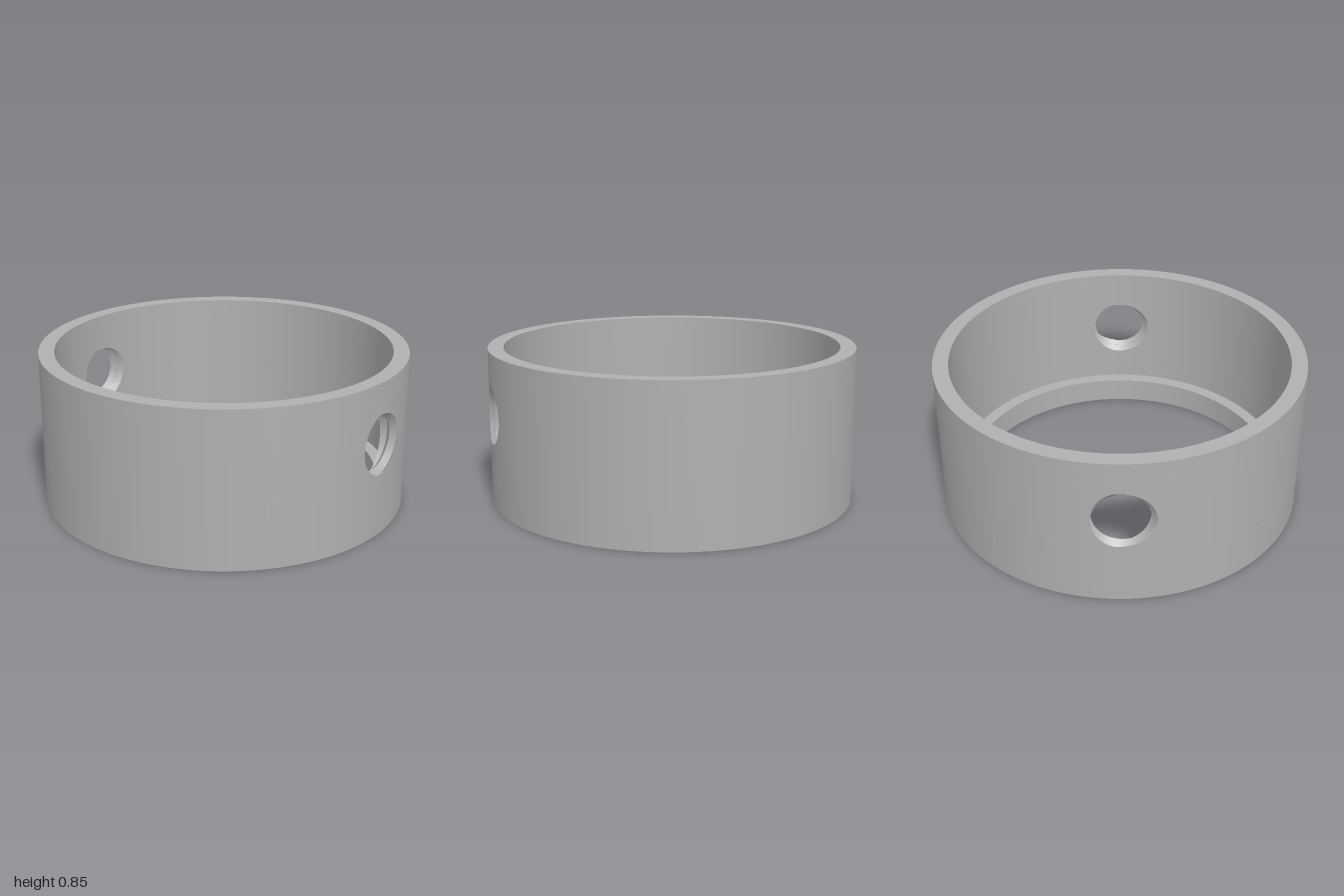
import * as THREE from 'three';
import { toCreasedNormals } from 'three/addons/utils/BufferGeometryUtils.js';

const OUTER = 1, INNER = 0.915, LIP = 0.845, HEIGHT = 0.845, LEDGE = 0.14;
const HOLE_Y = 0.495, MINOR = 0.148, DEPTH = 0.03, PITCH = 0.055;
const PATCH = 0.3; // half size of the wall panel around each hole
const SEGMENTS = 128, AROUND = 96;

// Surface from a rule f(u, v), both 0..1
function grid(cols, rows, f, flip) {
  const pos = [], index = [];
  for (let j = 0; j <= rows; j++) {
    for (let i = 0; i <= cols; i++) pos.push(...f((i % cols) / cols, j / rows));
  }
  for (let j = 0; j < rows; j++) {
    for (let i = 0; i < cols; i++) {
      const a = j * (cols + 1) + i, b = a + 1, d = a + cols + 1, c = d + 1;
      if (flip) index.push(a, d, b, b, d, c);
      else index.push(a, b, d, b, c, d);
    }
  }
  const g = new THREE.BufferGeometry();
  g.setAttribute('position', new THREE.Float32BufferAttribute(pos, 3));
  g.setIndex(index);
  return toCreasedNormals(g, 0.5);
}

// Radius of the V thread at an angle and depth
function threadRadius(angle, z) {
  const phase = (z - 0.99) / PITCH - (angle - Math.PI / 4) / (2 * Math.PI);
  return MINOR + DEPTH * Math.abs(2 * (phase - Math.floor(phase)) - 1);
}

// Where the thread meets a cylindrical wall of radius R
function rim(angle, R) {
  let r = MINOR, z = R;
  for (let k = 0; k < 12; k++) {
    z = Math.sqrt(R * R - (r * Math.cos(angle)) ** 2);
    r = threadRadius(angle, z);
  }
  return { r, z };
}

// Threaded bore through the wall
function boreGeometry() {
  return grid(AROUND, 40, (u, v) => {
    const a = u * Math.PI * 2;
    const z = THREE.MathUtils.lerp(rim(a, INNER).z, rim(a, OUTER).z, v);
    const r = threadRadius(a, z);
    return [r * Math.cos(a), HOLE_Y + r * Math.sin(a), z];
  }, true);
}

// Curved square wall panel with the hole in its middle
function panelGeometry(R, facesOut) {
  return grid(AROUND, 10, (u, v) => {
    const a = u * Math.PI * 2, c = Math.cos(a), s = Math.sin(a);
    const { r } = rim(a, R);
    const edge = PATCH / Math.max(Math.abs(c), Math.abs(s));
    const arc = THREE.MathUtils.lerp(R * Math.asin(r * c / R), edge * c, v);
    const y = THREE.MathUtils.lerp(r * s, edge * s, v);
    return [R * Math.sin(arc / R), HOLE_Y + y, R * Math.cos(arc / R)];
  }, facesOut);
}

export function createModel() {
  const model = new THREE.Group();
  const metal = new THREE.MeshStandardMaterial({ color: 0xb0b0b0 });
  metal.name = 'grey metal';

  const add = (parent, name, geometry) => {
    const mesh = new THREE.Mesh(geometry, metal);
    mesh.name = name;
    parent.add(mesh);
  };
  // One straight stretch of the ring's profile, turned about y
  const turn = (name, r0, y0, r1, y1, start = 0, length = Math.PI * 2, n = SEGMENTS) =>
    add(model, name, new THREE.LatheGeometry(
      [new THREE.Vector2(r0, y0), new THREE.Vector2(r1, y1)], n, start, length));

  const low = HOLE_Y - PATCH, high = HOLE_Y + PATCH;

  // Full bands and flat faces
  turn('outerWallBottom', OUTER, 0, OUTER, low);
  turn('outerWallTop', OUTER, high, OUTER, HEIGHT);
  turn('topRim', OUTER, HEIGHT, INNER, HEIGHT);
  turn('innerWallTop', INNER, HEIGHT, INNER, high);
  turn('innerWallBottom', INNER, low, INNER, LEDGE);
  turn('ledge', INNER, LEDGE, LIP, LEDGE);
  turn('lip', LIP, LEDGE, LIP, 0);
  turn('base', LIP, 0, OUTER, 0);

  // Wall sides between the two hole panels
  for (const side of [0, Math.PI]) {
    const o = PATCH / OUTER, i = PATCH / INNER;
    turn('outerWallSide', OUTER, low, OUTER, high, side + o, Math.PI - 2 * o, 56);
    turn('innerWallSide', INNER, high, INNER, low, side + i, Math.PI - 2 * i, 56);
  }

  // Threaded holes, front and back
  const bore = boreGeometry();
  const outerPanel = panelGeometry(OUTER, true);
  const innerPanel = panelGeometry(INNER, false);
  for (const [name, angle] of [['frontHole', 0], ['backHole', Math.PI]]) {
    const hole = new THREE.Group();
    hole.name = name;
    add(hole, 'threadedBore', bore);
    add(hole, 'outerPanel', outerPanel);
    add(hole, 'innerPanel', innerPanel);
    hole.rotation.y = angle;
    model.add(hole);
  }
  return model;
}
